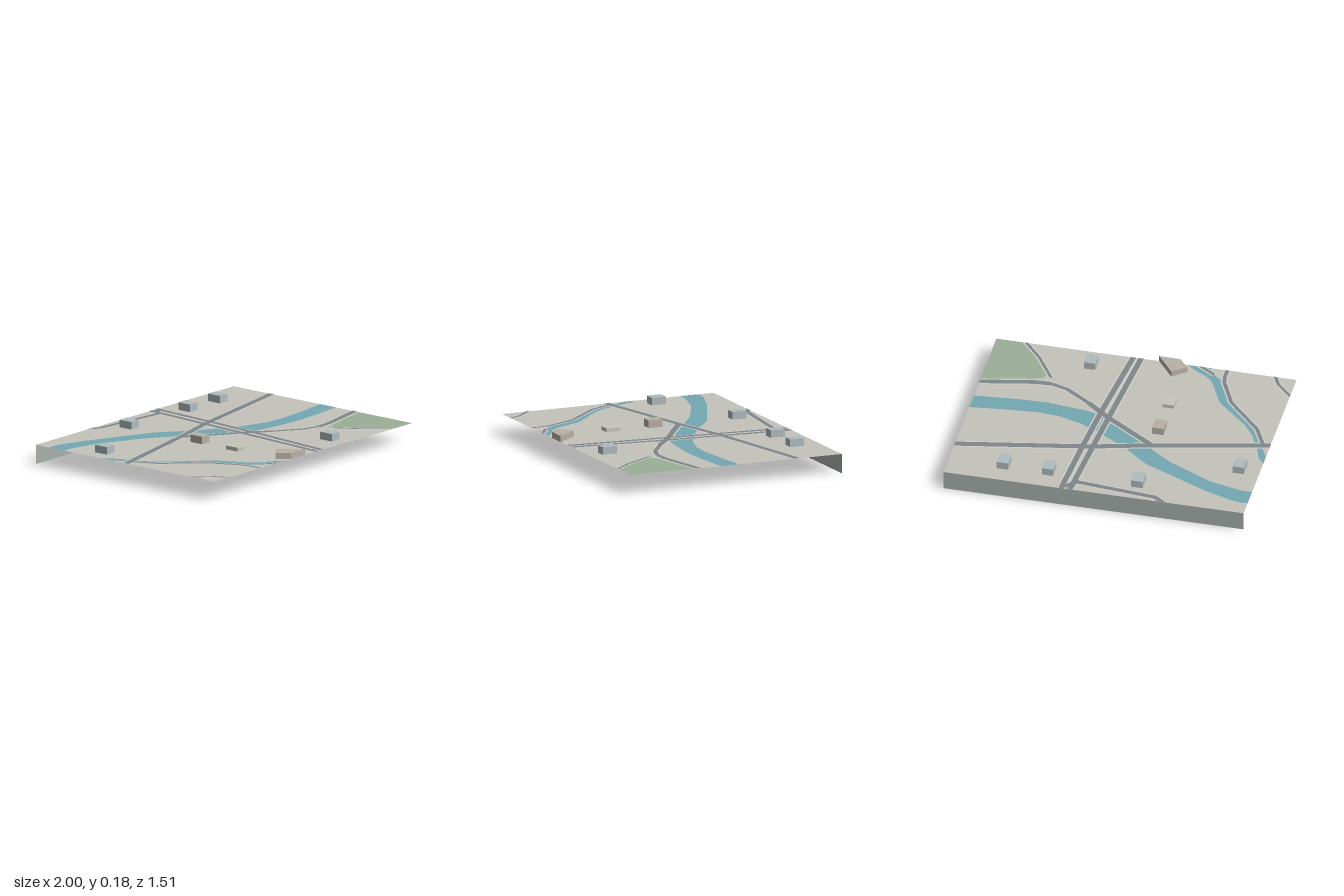
import * as THREE from 'three';

const HALF_X = 1, HALF_Z = 0.755, GROUND_Y = 0.129;
const material = (color) => new THREE.MeshStandardMaterial({ color, side: THREE.DoubleSide, flatShading: true });
const MAT = {
  ground: material(0xc4c4bc), wall: material(0xa8b0ac), water: material(0x74a8b2),
  park: material(0x9bb098), road: material(0x80878b), verge: material(0xcfcfc8),
  blueGrey: material(0xb0bcc0), brown: material(0xb8b0a6), pale: material(0xc6c8bc),
};

// Shape from plan points [x, z]
const planShape = (points) => new THREE.Shape(points.map(([x, z]) => new THREE.Vector2(x, -z)));

// Flat patch lying at a height
function patch(name, points, mat, y) {
  const geo = new THREE.ShapeGeometry(planShape(points)).rotateX(-Math.PI / 2).translate(0, y, 0);
  const mesh = new THREE.Mesh(geo, mat);
  mesh.name = name;
  return mesh;
}

// Outline of a mitred strip; its ends are cut flush where they meet the board edge
function stripOutline(path, width) {
  const pts = path.map(([x, z]) => new THREE.Vector2(x, z));
  const left = [], right = [];
  pts.forEach((p, i) => {
    const a = pts[Math.max(i - 1, 0)], b = pts[Math.min(i + 1, pts.length - 1)];
    const d1 = (i ? p.clone().sub(a) : b.clone().sub(p)).normalize();
    const d2 = (i < pts.length - 1 ? b.clone().sub(p) : d1.clone()).normalize();
    const n = new THREE.Vector2(-d1.y, d1.x);
    let across = new THREE.Vector2(-d1.y - d2.y, d1.x + d2.x).normalize();
    if (Math.abs(p.x) >= HALF_X) across = new THREE.Vector2(0, 1);
    else if (Math.abs(p.y) >= HALF_Z) across = new THREE.Vector2(1, 0);
    across.multiplyScalar(width / 2 / across.dot(n));
    left.push([p.x + across.x, p.y + across.y]);
    right.unshift([p.x - across.x, p.y - across.y]);
  });
  return [...left, ...right].map(([x, z]) => [
    THREE.MathUtils.clamp(x, -HALF_X, HALF_X), THREE.MathUtils.clamp(z, -HALF_Z, HALF_Z)]);
}

// Building from a plan outline
function building(name, points, height, mat) {
  const geo = new THREE.ExtrudeGeometry(planShape(points), { depth: height, bevelEnabled: false });
  const mesh = new THREE.Mesh(geo.rotateX(-Math.PI / 2).translate(0, GROUND_Y, 0), mat);
  mesh.name = name;
  return mesh;
}

export function createModel() {
  const model = new THREE.Group();
  model.name = 'townMap';

  // Ground sheet and the upright sheet along the back
  model.add(patch('ground', [[-1, -HALF_Z], [1, -HALF_Z], [1, HALF_Z], [-1, HALF_Z]], MAT.ground, GROUND_Y));
  const wall = new THREE.Mesh(new THREE.PlaneGeometry(2, GROUND_Y), MAT.wall);
  wall.position.set(0, GROUND_Y / 2, -HALF_Z);
  wall.rotation.y = Math.PI;
  wall.name = 'backWall';
  model.add(wall);

  // Water and park
  model.add(patch('river', [
    [-1, -0.64], [-0.95, -0.645], [-0.89, -0.635], [-0.7, -0.57], [-0.26, -0.37], [-0.1, -0.24],
    [0.03, -0.155], [0.2, -0.06], [0.26, -0.03], [0.41, 0.015], [0.55, 0.025], [0.75, 0.01], [1, -0.02],
    [1, 0.11], [0.75, 0.135], [0.52, 0.145], [0.25, 0.115], [0.085, 0.07], [-0.18, -0.14],
    [-0.29, -0.23], [-0.42, -0.32], [-0.715, -0.465], [-0.93, -0.515], [-1, -0.515],
  ], MAT.water, GROUND_Y + 0.0006));
  model.add(patch('stream', [
    [-1, -0.195], [-0.955, -0.14], [-0.93, -0.06], [-0.86, 0.09], [-0.79, 0.19], [-0.6, 0.37], [-0.565, 0.41],
    [-0.47, 0.61], [-0.42, 0.66], [-0.33, 0.71], [-0.28, HALF_Z], [-0.43, HALF_Z], [-0.44, 0.71], [-0.51, 0.65],
    [-0.56, 0.58], [-0.62, 0.46], [-0.66, 0.4], [-0.8, 0.25], [-0.88, 0.13], [-0.935, 0.03], [-0.96, -0.04], [-1, -0.12],
  ], MAT.water, GROUND_Y + 0.0006));
  model.add(patch('park', [
    [0.585, 0.43], [0.62, 0.39], [1, 0.305], [1, HALF_Z], [0.815, HALF_Z], [0.7, 0.605],
  ], MAT.park, GROUND_Y + 0.0006));

  // Roads, each over a wider pale verge
  const roads = [
    ['crossRoad', 0.045, [[-1, 0.012], [-0.24, -0.165], [0.13, -0.265], [1, -0.435]]],
    ['mainRoadLeft', 0.037, [[0.157, -HALF_Z], [0.118, -0.24], [0.035, HALF_Z]]],
    ['mainRoadRight', 0.037, [[0.217, -HALF_Z], [0.183, -0.24], [0.15, 0.16], [0.087, HALF_Z]]],
    ['riverRoad', 0.04, [[-0.245, -0.16], [0.115, 0.085], [0.257, 0.2]]],
    ['riverRoadBend', 0.03, [[0.257, 0.2], [0.425, 0.315], [0.54, 0.35]]],
    ['riverRoadEnd', 0.04, [[0.54, 0.35], [0.645, 0.345], [1, 0.27]]],
    ['backRoad', 0.035, [[-0.455, -HALF_Z], [-0.4, -0.715], [0.13, -0.665], [0.2, -0.735]]],
    ['streamRoad', 0.025, [[-0.945, 0.02], [-0.875, 0.165], [-0.645, 0.415], [-0.55, 0.62], [-0.54, 0.68], [-0.54, HALF_Z]]],
    ['cornerLane', 0.022, [[-1, 0.57], [-0.895, 0.68], [-0.86, HALF_Z]]],
    ['shortLane', 0.022, [[-0.465, 0.69], [-0.365, HALF_Z]]],
    ['parkLane', 0.02, [[0.555, 0.415], [0.685, 0.62], [0.8, HALF_Z]]],
  ];
  for (const [name, width, path] of roads) {
    model.add(patch(name + 'Verge', stripOutline(path, width + 0.02), MAT.verge, GROUND_Y + 0.0012));
    model.add(patch(name, stripOutline(path, width), MAT.road, GROUND_Y + 0.0018));
  }

  // Box buildings: x, z, height, material
  const boxes = [
    [-0.26, -0.585, 0.05, MAT.blueGrey], [0.335, -0.585, 0.05, MAT.blueGrey], [0.635, -0.585, 0.05, MAT.blueGrey],
    [-0.865, -0.285, 0.05, MAT.blueGrey], [-0.26, 0.015, 0.05, MAT.brown],
    [-0.26, 0.315, 0.025, MAT.pale], [0.335, 0.615, 0.05, MAT.blueGrey],
  ];
  boxes.forEach(([x, z, h, mat], i) => {
    const box = [[x - 0.038, z - 0.05], [x + 0.038, z - 0.05], [x + 0.038, z + 0.05], [x - 0.038, z + 0.05]];
    model.add(building(`building${i + 1}`, box, h, mat));
  });

  // Slanted building cut off by the front edge
  model.add(building('edgeBuilding', [[-0.29, 0.678], [-0.2, 0.607], [-0.085, HALF_Z], [-0.225, HALF_Z]], 0.04, MAT.brown));
  return model;
}
